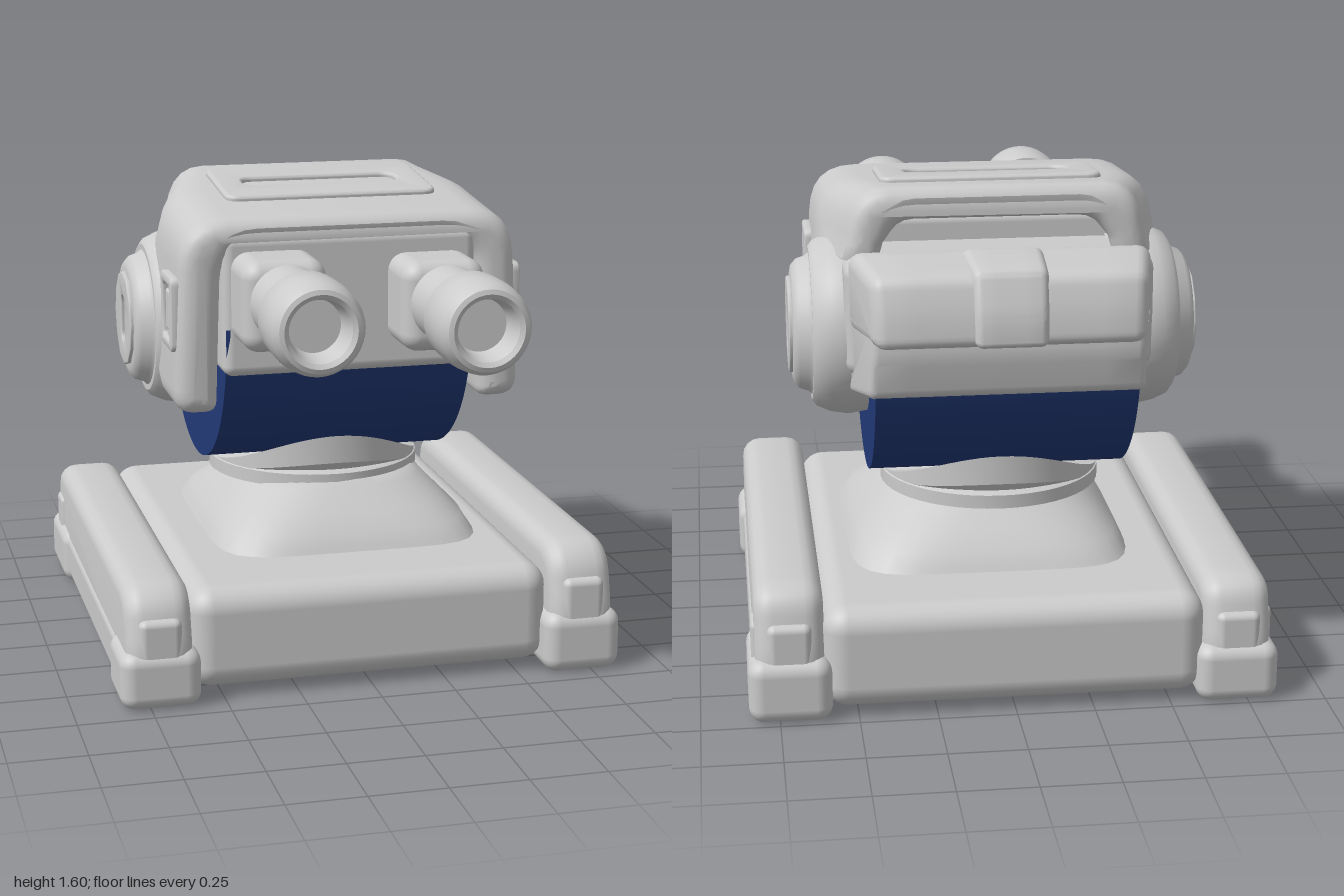
import * as THREE from 'three';
import { toCreasedNormals } from 'three/addons/utils/BufferGeometryUtils.js';
import { RoundedBoxGeometry } from 'three/addons/geometries/RoundedBoxGeometry.js';

const grey = new THREE.MeshStandardMaterial({ color: 0xcccccc });
const blue = new THREE.MeshStandardMaterial({ color: 0x223a78 });

function add(parent, name, geometry, x = 0, y = 0, z = 0, material = grey) {
  const mesh = new THREE.Mesh(geometry, material);
  mesh.name = name;
  mesh.position.set(x, y, z);
  parent.add(mesh);
  return mesh;
}

// Closed outline with rounded corners; a corner may carry its own radius
function outline(points, radius) {
  const shape = new THREE.Shape();
  const v = points.map(([x, y]) => new THREE.Vector2(x, y));
  v.forEach((p, i) => {
    const a = v[(i + v.length - 1) % v.length], b = v[(i + 1) % v.length];
    const r = points[i][2] ?? radius;
    const p1 = p.clone().lerp(a, Math.min(0.48, r / p.distanceTo(a)));
    const p2 = p.clone().lerp(b, Math.min(0.48, r / p.distanceTo(b)));
    if (i) shape.lineTo(p1.x, p1.y); else shape.moveTo(p1.x, p1.y);
    shape.quadraticCurveTo(p.x, p.y, p2.x, p2.y);
  });
  shape.closePath();
  return shape;
}

const rect = (w, h, r) => outline([[-w / 2, -h / 2], [w / 2, -h / 2], [w / 2, h / 2], [-w / 2, h / 2]], r);

// Bevelled extrusion centred on z = 0 that keeps the outline's size
function extrude(shape, depth, bevel, steps = 1) {
  const g = new THREE.ExtrudeGeometry(shape, {
    depth: depth - 2 * bevel, steps, curveSegments: 6,
    bevelSize: bevel, bevelThickness: bevel, bevelOffset: -bevel, bevelSegments: 4,
  });
  return g.translate(0, 0, bevel - depth / 2);
}

// Side profile given as (z, y), extruded across x
const across = (shape, width, bevel, steps) => extrude(shape, width, bevel, steps).rotateY(-Math.PI / 2);

const smooth = (g, angle = 0.6) => toCreasedNormals(g, angle);

function deform(g, rule) {
  const p = g.attributes.position, v = new THREE.Vector3();
  for (let i = 0; i < p.count; i++) {
    rule(v.fromBufferAttribute(p, i));
    p.setXYZ(i, v.x, v.y, v.z);
  }
  g.computeVertexNormals();
  return g;
}

const lathe = (points, segments = 48) =>
  new THREE.LatheGeometry(points.map(([r, y]) => new THREE.Vector2(r, y)), segments);

const box = (w, h, d, r) => new RoundedBoxGeometry(w, h, d, 4, r);

function createBase() {
  const base = new THREE.Group();
  base.name = 'base';
  add(base, 'baseSlab', box(1.22, 0.34, 1.62, 0.08), 0, 0.2, -0.17);

  // Side rails with corner feet and lugs
  const profile = outline([[0.69, 0.04], [0.69, 0.22], [0.65, 0.38], [0.58, 0.44],
    [-0.88, 0.44], [-0.94, 0.4], [-0.98, 0.22], [-0.98, 0.04]], 0.05);
  for (const side of [1, -1]) {
    const rail = new THREE.Group();
    rail.name = side > 0 ? 'leftRail' : 'rightRail';
    rail.position.x = side * 0.715;
    rail.scale.y = side > 0 ? 1 : 0.92;
    add(rail, 'railTop', smooth(across(profile, 0.22, 0.06)));
    add(rail, 'railSill', box(0.235, 0.18, 1.67, 0.04), 0, 0.12, -0.15);
    for (const [z, length, end] of [[0.56, 0.28, 0.645], [-0.82, 0.36, -0.935]]) {
      add(rail, 'foot', box(0.265, 0.21, length, 0.05), 0, 0.11, z);
      add(rail, 'endLug', box(0.14, 0.16, 0.09, 0.025), 0, 0.25, end);
    }
    add(rail, 'sideLug', box(0.05, 0.14, 0.12, 0.02), side * 0.095, 0.25, -0.85);
    base.add(rail);
  }

  // Pedestal: square at the foot, rounder at the top
  const pedestal = lathe([[0.5, 0.35], [0.48, 0.385], [0.455, 0.43], [0.4, 0.48],
    [0.335, 0.55], [0.31, 0.57], [0, 0.57]], 64);
  deform(pedestal, (v) => {
    const r = Math.hypot(v.x, v.z);
    if (r < 1e-6) return;
    const n = THREE.MathUtils.mapLinear(v.y, 0.35, 0.57, 6, 2.6);
    const k = (Math.abs(v.x / r) ** n + Math.abs(v.z / r) ** n) ** (-1 / n);
    v.x *= k * 0.95;
    v.z *= k * 1.05;
  });
  add(base, 'pedestal', smooth(pedestal), 0.03, 0, -0.18);

  // Neck: collar and a cradle cut to the curve of the belly
  add(base, 'neckCollar', smooth(lathe([[0.34, 0.54], [0.37, 0.55], [0.37, 0.595], [0.35, 0.605], [0, 0.605]])), 0, 0, -0.22);
  const cradle = lathe([[0.345, 0.56], [0.345, 0.6], [0.365, 0.62], [0.365, 0.7], [0.3, 0.7], [0.15, 0.7], [0, 0.7]], 64);
  deform(cradle, (v) => {
    const top = 1.16 - Math.sqrt(0.565 ** 2 - v.z ** 2);
    v.y = 0.56 + (v.y - 0.56) * (top - 0.56) / 0.14;
  });
  add(base, 'neckCradle', smooth(cradle), 0, 0, -0.22);
  return base;
}

function createEar(side) {
  const ear = new THREE.Group();
  ear.name = side > 0 ? 'leftEar' : 'rightEar';
  ear.position.set(0, 1.1, -0.23);
  ear.rotation.y = side > 0 ? 0 : Math.PI;
  const drum = lathe([[0.29, 0.38], [0.305, 0.48], [0.295, 0.54], [0.275, 0.585], [0.255, 0.6], [0.235, 0.6],
    [0.225, 0.61], [0.215, 0.64], [0.195, 0.658], [0.175, 0.662], [0, 0.662]]);
  add(ear, 'earDrum', smooth(drum.rotateZ(-Math.PI / 2)));
  // Hub with an upright slot
  const hub = new THREE.Shape().absarc(0, 0, 0.165, 0, Math.PI * 2);
  hub.holes.push(rect(0.07, 0.16, 0.035));
  add(ear, 'earHub', smooth(across(hub, 0.024, 0.006)), 0.662, 0, 0);
  return ear;
}

function createCannon(side) {
  const cannon = new THREE.Group();
  cannon.name = side > 0 ? 'leftCannon' : 'rightCannon';
  cannon.position.set(side * 0.265, side > 0 ? 1.265 : 1.29, 0);
  add(cannon, 'cannonMount', box(0.28, 0.3, 0.26, 0.06), 0, -0.02, 0.41);
  const barrel = lathe([[0.11, 0.5], [0.11, 0.55], [0.125, 0.56], [0.125, 0.77], [0.14, 0.772], [0.15, 0.79],
    [0.152, 0.9], [0.146, 0.965], [0.13, 0.995], [0.115, 1], [0.1, 0.99], [0.092, 0.96], [0.085, 0.9], [0, 0.9]], 40);
  add(cannon, 'cannonBarrel', smooth(barrel.rotateX(Math.PI / 2)));
  return cannon;
}

function createHead() {
  const head = new THREE.Group();
  head.name = 'head';

  // Half-round belly
  const belly = new THREE.Shape().absarc(-0.22, 1.16, 0.55, Math.PI, Math.PI * 2);
  belly.closePath();
  const bellyGeometry = new THREE.ExtrudeGeometry(belly, { depth: 0.84, bevelEnabled: false, curveSegments: 48 });
  add(head, 'belly', smooth(bellyGeometry.translate(0, 0, -0.42).rotateY(-Math.PI / 2)), 0, 0, 0, blue);

  // Helmet: roof and cheeks in one arch, sloped on top and tapered to the back
  const arch = outline([[-0.57, 0.88, 0.08], [-0.43, 0.88, 0.04], [-0.43, 1.44, 0.12], [0.43, 1.44, 0.12],
    [0.43, 0.88, 0.04], [0.57, 0.88, 0.08], [0.57, 1.52, 0.16], [-0.57, 1.52, 0.16]], 0.1);
  const { smoothstep, clamp } = THREE.MathUtils;
  const helmet = extrude(arch, 0.8, 0.055, 20).translate(0, 0, -0.065);
  deform(helmet, (v) => {
    const t = (0.335 - v.z) / 0.8;
    const floor = 0.88 + 0.48 * smoothstep(-v.z, -0.04, 0.22);
    const rise = 0.08 * t * clamp((v.y - 1.3) / 0.22, 0, 1);
    v.x *= (1 - 0.15 * smoothstep(t, 0.5, 1)) * (1 + 0.08 * Math.max(0, 1.4 - v.y));
    if (v.y < 1.4) v.y = 1.4 - (1.4 - v.y) * (1.4 - floor) / 0.52;
    v.y += rise;
  });
  add(head, 'helmet', smooth(helmet));
  add(head, 'facePanel', box(0.86, 0.47, 0.6, 0.035), 0, 1.235, 0.032);
  add(head, 'rearCore', box(1, 0.38, 0.4, 0.05), 0, 1.19, -0.36);

  // Roof panel with a long slot
  const panel = rect(0.73, 0.4, 0.05);
  panel.holes.push(rect(0.54, 0.11, 0.05));
  const roofPanel = add(head, 'roofPanel', smooth(extrude(panel, 0.04, 0.012).rotateX(-Math.PI / 2)), 0, 1.562, -0.11);
  roofPanel.rotation.x = 0.1;

  // Cheek windows, ears and cannons
  for (const side of [1, -1]) {
    const frame = rect(0.19, 0.25, 0.03);
    frame.holes.push(rect(0.12, 0.18, 0.02));
    add(head, 'cheekWindow', smooth(across(frame, 0.05, 0.01)), side * 0.573, 1.21, 0.2);
    add(head, 'cheekLatch', box(0.04, 0.14, 0.07, 0.012), side * 0.57, 1.21, 0.185);
    head.add(createEar(side), createCannon(side));
  }

  // Rear guard: overhanging upper shell, lower band and central ridge
  const taper = (v) => { v.x *= 1 - 0.42 * Math.max(0, -0.52 - v.z); };
  const upper = outline([[-0.48, 1.15], [-0.5, 1.4], [-0.55, 1.415], [-0.79, 1.39], [-0.825, 1.28], [-0.84, 1.17]], 0.04);
  const lower = outline([[-0.47, 0.93], [-0.46, 1.25], [-0.78, 1.25], [-0.785, 1.13], [-0.755, 0.99]], 0.03);
  const ridge = outline([[-0.52, 1.17], [-0.53, 1.4], [-0.58, 1.428], [-0.8, 1.41], [-0.845, 1.28], [-0.86, 1.17]], 0.03);
  add(head, 'rearGuard', smooth(deform(across(upper, 0.98, 0.045, 8), taper)));
  add(head, 'rearBand', smooth(deform(across(lower, 0.97, 0.025, 8), taper)));
  add(head, 'rearRidge', smooth(deform(across(ridge, 0.27, 0.03, 4), taper)));
  return head;
}

export function createModel() {
  const model = new THREE.Group();
  model.name = 'turretRobot';
  model.add(createBase(), createHead());
  return model;
}
